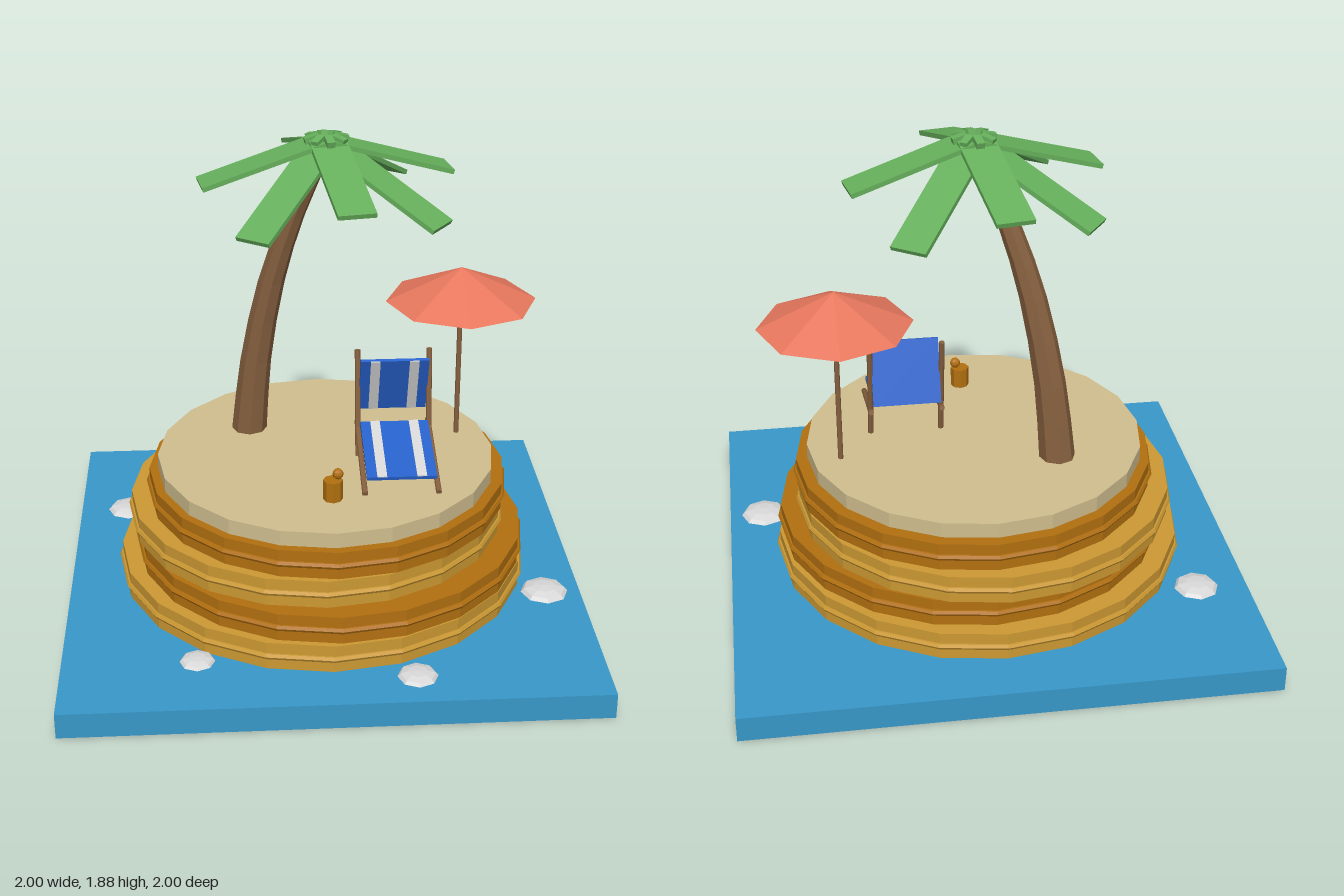
import * as THREE from 'three';

const mat = (name, color) => {
  const m = new THREE.MeshStandardMaterial({ color, flatShading: true });
  m.name = name;
  return m;
};

export function createModel() {
  const model = new THREE.Group();
  model.name = 'beachIsland';

  const water = mat('waterBlue', 0x3898c8);
  const gold = mat('goldRock', 0xcc9933);
  const amber = mat('amberRock', 0xb27010);
  const sand = mat('sand', 0xd0be8e);
  const wood = mat('wood', 0x86603f);
  const leaf = mat('leafGreen', 0x66b05c);
  const coral = mat('coral', 0xe8785e);
  const fabric = mat('fabricBlue', 0x2762cc);
  const pale = mat('paleGrey', 0xd8d8d8);

  const add = (name, geo, material, x = 0, y = 0, z = 0, parent = model) => {
    const m = new THREE.Mesh(geo, material);
    m.name = name;
    m.position.set(x, y, z);
    parent.add(m);
    return m;
  };
  // Straight bar between two points, each [x, y, z]
  const bar = (name, a, b, r, material) => {
    const p = new THREE.Vector3(...a), q = new THREE.Vector3(...b);
    const d = q.clone().sub(p);
    const m = add(name, new THREE.CylinderGeometry(r, r, d.length(), 8), material);
    m.position.copy(p).add(q).multiplyScalar(0.5);
    m.quaternion.setFromUnitVectors(new THREE.Vector3(0, 1, 0), d.normalize());
    return m;
  };

  // Water slab
  add('water', new THREE.BoxGeometry(2, 0.1, 2), water, 0, 0.05, 0);

  // Rock layers, each with a raised band: centre x, centre z, radius
  [[0, 0, 0.8], [0.03, 0.022, 0.76], [-0.02, -0.022, 0.735], [0.02, -0.003, 0.7]].forEach(([x, z, r], i) => {
    const m = i % 2 ? amber : gold;
    const y = 0.155 + i * 0.11;
    add('rockLayer', new THREE.CylinderGeometry(r, r, 0.11, 20), m, x, y, z);
    add('rockBand', new THREE.TorusGeometry(r, 0.013, 6, 20).rotateX(Math.PI / 2), m, x, y, z);
  });
  add('sandTop', new THREE.CylinderGeometry(0.66, 0.66, 0.06, 20), sand, 0.015, 0.57, 0.003);

  // Stones in the water
  [[-0.8, -0.46, 0.087], [0.86, 0.3, 0.093], [-0.5, 0.7, 0.066], [0.3, 0.84, 0.075]].forEach(([x, z, r]) => {
    add('stone', new THREE.SphereGeometry(r, 8, 6).scale(1, 0.3, 1), pale, x, 0.1, z);
  });

  // Palm trunk: a cylinder bent along a curve
  const path = new THREE.CatmullRomCurve3([
    [-0.28, 0.6, -0.215], [-0.25, 0.91, -0.195], [-0.185, 1.26, -0.155],
    [-0.1, 1.54, -0.11], [0.02, 1.83, -0.05],
  ].map((p) => new THREE.Vector3(...p)));
  const trunk = new THREE.CylinderGeometry(0.034, 0.07, 1, 8, 8);
  const pos = trunk.attributes.position;
  for (let i = 0; i < pos.count; i++) {
    const c = path.getPoint(THREE.MathUtils.clamp(pos.getY(i) + 0.5, 0, 1));
    pos.setXYZ(i, c.x + pos.getX(i), c.y, c.z + pos.getZ(i));
  }
  trunk.computeVertexNormals();
  add('trunk', trunk, wood);

  // Crown: shallow and steep fronds in turn, with short stems at the centre
  const crown = new THREE.Group();
  crown.name = 'crown';
  crown.position.set(0.02, 1.855, -0.05);
  model.add(crown);
  for (let i = 0; i < 8; i++) {
    const arm = new THREE.Group();
    arm.name = 'frondArm';
    arm.rotation.y = THREE.MathUtils.degToRad(9.7 + i * 45);
    crown.add(arm);
    const steep = i % 2 === 1;
    const length = steep ? 0.53 : 0.475;
    const frond = add('frond', new THREE.BoxGeometry(length, 0.018, 0.14).translate(length / 2 + 0.02, 0, 0),
      leaf, 0, steep ? -0.005 : 0, 0, arm);
    frond.rotation.z = steep ? -0.465 : -0.29;
    add('frondStem', new THREE.BoxGeometry(0.055, 0.025, 0.03), leaf, 0.055, 0.003, 0, arm).rotation.z = -0.25;
  }

  // Coconuts under the crown
  for (let i = 0; i < 3; i++) {
    const a = i * Math.PI * 2 / 3 + 0.5;
    add('coconut', new THREE.SphereGeometry(0.043, 8, 6), wood, 0.02 + Math.cos(a) * 0.06, 1.775, -0.05 + Math.sin(a) * 0.06);
  }

  // Parasol
  add('parasolPole', new THREE.CylinderGeometry(0.01, 0.01, 0.68, 8), wood, 0.55, 0.94, -0.12);
  add('parasolCanopy', new THREE.ConeGeometry(0.293, 0.135, 8), coral, 0.55, 1.243, -0.12);

  // Deck chair frame
  for (const x of [0.14, 0.418]) {
    bar('chairPost', [x, 0.6, 0.06], [x, 1.02, -0.015], 0.011, wood);
    bar('chairRail', [x, 0.607, 0.39], [x, 0.722, 0], 0.011, wood);
  }
  // Fabric panel from a to b, each [y, z], with two stripes on its upper face
  const panel = (name, a, b) => {
    const dy = b[0] - a[0], dz = b[1] - a[1], len = Math.hypot(dy, dz);
    const g = new THREE.Group();
    g.name = name;
    g.position.set(0.279, (a[0] + b[0]) / 2, (a[1] + b[1]) / 2);
    g.rotation.x = Math.atan2(dy, -dz);
    model.add(g);
    add('fabric', new THREE.BoxGeometry(0.264, 0.014, len), fabric, 0, 0, 0, g);
    for (const x of [-0.075, 0.075]) {
      add('stripe', new THREE.BoxGeometry(0.037, 0.004, len), pale, x, 0.008, 0, g);
    }
  };
  panel('chairSeat', [0.668, 0.385], [0.74, 0.06]);
  panel('chairBack', [0.765, -0.03], [1.005, 0.058]);

  // Drink with a fruit on the rim
  add('cup', new THREE.CylinderGeometry(0.037, 0.037, 0.08, 8), amber, 0.018, 0.64, 0.403);
  add('fruit', new THREE.SphereGeometry(0.021, 8, 6), amber, 0.037, 0.703, 0.4);

  return model;
}
